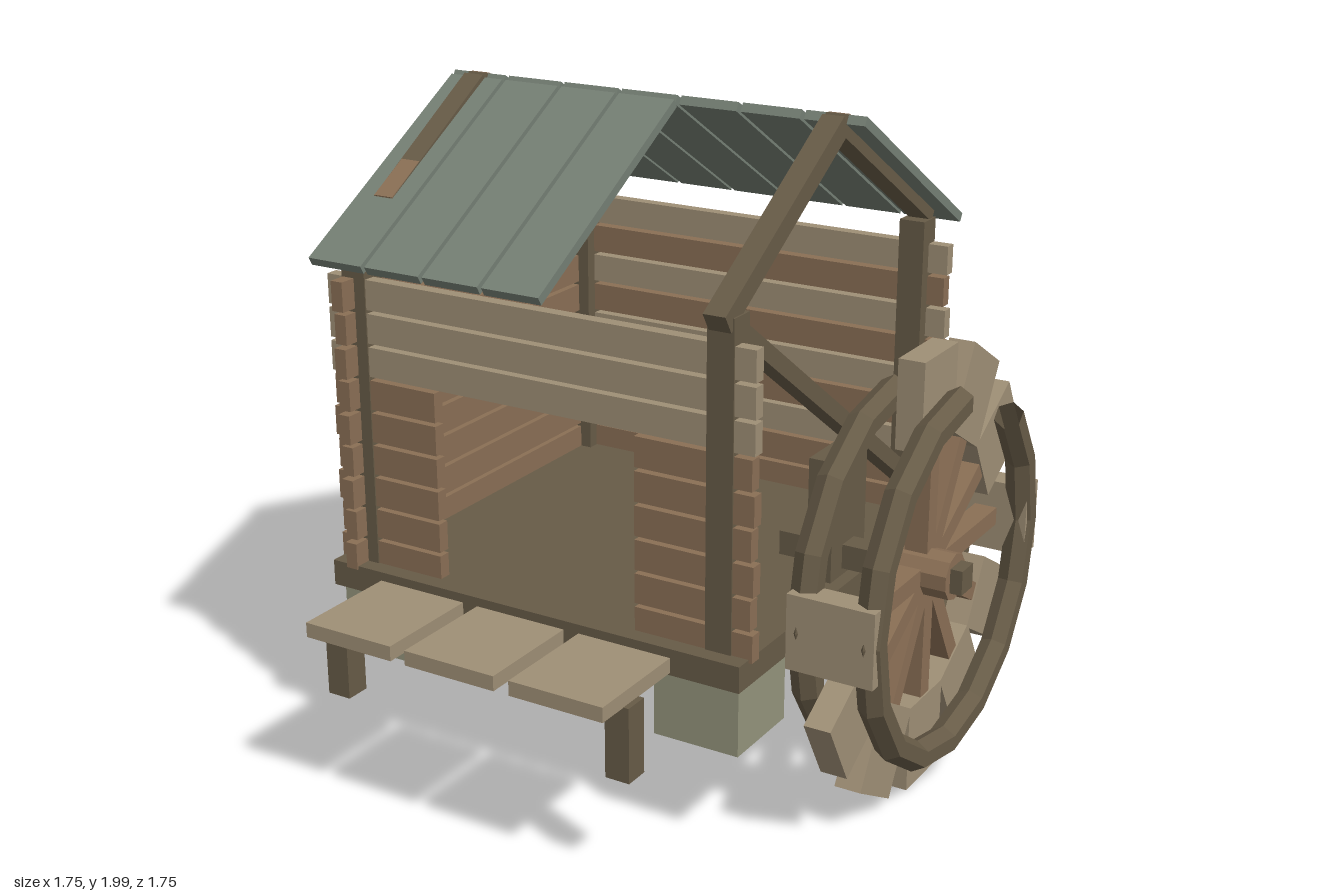
import * as THREE from 'three';

const mat = (color) => new THREE.MeshStandardMaterial({ color, flatShading: true });
const BROWN = mat(0x8a6f55), LIGHT = mat(0x9f8f76), DARK = mat(0x675b47);
const STONE = mat(0x94947c), SLATE = mat(0x757f74);

// Box given by its extents on each axis
function box(parent, name, material, [x0, x1], [y0, y1], [z0, z1]) {
  const mesh = new THREE.Mesh(new THREE.BoxGeometry(x1 - x0, y1 - y0, z1 - z0), material);
  mesh.position.set((x0 + x1) / 2, (y0 + y1) / 2, (z0 + z1) / 2);
  mesh.name = name;
  parent.add(mesh);
  return mesh;
}

// Beam in a plane of constant x; its upper face runs from a to b, given as [z, y]
function beam(parent, name, material, x, width, thick, a, b) {
  const dz = b[0] - a[0], dy = b[1] - a[1], length = Math.hypot(dz, dy);
  const mesh = new THREE.Mesh(new THREE.BoxGeometry(width, thick, length), material);
  const side = Math.sign(dz) * thick / 2 / length;
  mesh.position.set(x, (a[1] + b[1]) / 2 - dz * side, (a[0] + b[0]) / 2 + dy * side);
  mesh.rotation.x = -Math.atan(dy / dz);
  mesh.name = name;
  parent.add(mesh);
}

function buildHouse() {
  const house = new THREE.Group();
  house.name = 'house';
  box(house, 'floor', DARK, [-0.875, 0.53], [0.54, 0.62], [-0.84, 0.51]);

  // Foundation stones and corner posts
  for (const x of [-0.72, 0.38])
    for (const z of [-0.68, 0.35])
      box(house, 'foundationStone', STONE, [x - 0.135, x + 0.135], [0.33, 0.54], [z - 0.135, z + 0.135]);
  for (const x of [-0.783, 0.435])
    for (const z of [-0.747, 0.42])
      box(house, 'cornerPost', DARK, [x - 0.041, x + 0.041], [0.62, 1.58], [z - 0.041, z + 0.041]);

  // Plank walls: back, left side and front with a doorway; the wheel side is open
  for (let i = 0; i < 9; i++) {
    const y = [i ? 0.602 + 0.1015 * i : 0.61, 0.692 + 0.1015 * i];
    const e = i % 2 ? 0.008 : 0;
    box(house, 'backPlank', i % 2 || !i ? BROWN : LIGHT, [-0.88 + e, 0.54 - e], y, [-0.784, -0.745]);
    box(house, 'sidePlank', BROWN, [-0.82, -0.78], y, [-0.845 + e, 0.515 - e]);
    const front = [0.418, 0.457];
    if (i > 5) {
      box(house, 'frontPlank', LIGHT, [-0.88, 0.54], y, front);
    } else {
      box(house, 'frontPlank', BROWN, [-0.88 + e, -0.51], y, front);
      box(house, 'frontPlank', BROWN, [0.165, 0.54 - e], y, front);
    }
  }

  // Axle support and brace on the open side
  box(house, 'axleSupport', DARK, [0.41, 0.49], [0.62, 1.0], [-0.33, -0.11]);
  beam(house, 'brace', DARK, 0.435, 0.06, 0.05, [0.41, 1.57], [-0.72, 0.78]);
  return house;
}

function buildRoof() {
  const roof = new THREE.Group();
  roof.name = 'roof';
  // The front slope has lost its last three boards
  for (let i = 0; i < 7; i++) {
    const x = -0.777 + 0.2017 * i;
    beam(roof, 'backRoofBoard', SLATE, x, 0.188, 0.028, [-0.178, 1.998], [-0.872, 1.58]);
    if (i < 4) beam(roof, 'frontRoofBoard', SLATE, x, 0.188, 0.028, [-0.16, 1.988], [0.545, 1.572]);
  }
  for (const x of [-0.78, 0.437]) {
    beam(roof, 'backRafter', DARK, x, 0.068, 0.06, [-0.172, 2.0], [-0.8, 1.62]);
    beam(roof, 'frontRafter', DARK, x, 0.068, 0.06, [-0.15, 1.998], [0.5, 1.592]);
  }
  // Upper rafter faces standing just proud of the boards
  const strip = (x, a, b) => beam(roof, 'rafterTop', BROWN, x, 0.065, 0.02, a, b);
  for (const x of [-0.78, 0.437]) strip(x, [-0.185, 1.999], [-0.65, 1.717]);
  strip(-0.78, [-0.155, 1.993], [0.31, 1.714]);
  return roof;
}

function buildStep() {
  const step = new THREE.Group();
  step.name = 'frontStep';
  for (const x of [-0.52, -0.17, 0.18])
    box(step, 'stepBoard', LIGHT, [x - 0.15, x + 0.15], [0.565, 0.61], [0.54, 0.88]);
  for (const x of [-0.65, 0.309])
    box(step, 'stepLeg', DARK, [x - 0.038, x + 0.038], [0.34, 0.566], [0.703, 0.78]);
  return step;
}

// Water wheel in its own xy plane, turned so that its axis lies along x
function buildWheel() {
  const wheel = new THREE.Group();
  wheel.name = 'waterWheel';
  wheel.position.set(0.722, 0.68, -0.22);
  wheel.rotation.y = Math.PI / 2;

  // Two broken rims, open between 45 and 90 degrees
  const rimGeometry = new THREE.TorusGeometry(0.535, 0.046, 6, 14, Math.PI * 1.75);
  for (const z of [-0.102, 0.102]) {
    const rim = new THREE.Mesh(rimGeometry, DARK);
    rim.material = DARK.clone();
    rim.material.side = THREE.DoubleSide;
    rim.position.z = z;
    rim.rotation.z = Math.PI / 2;
    rim.name = 'rim';
    wheel.add(rim);
  }

  // Spokes with paddles; two are lost, and the level paddles lie across the rims
  for (let i = 0; i < 12; i++) {
    if (i === 4 || i === 5) continue;
    const arm = new THREE.Group();
    arm.name = 'spokeAndPaddle';
    arm.rotation.z = i * Math.PI / 6;
    box(arm, 'spoke', BROWN, [0.04, 0.5], [-0.028, 0.028], [-0.036, 0.036]);
    const flat = i % 6 === 0;
    const r = flat ? 0.042 : 0.135, w = flat ? 0.133 : 0.041;
    box(arm, 'paddle', LIGHT, [0.535 - r, 0.535 + r], [-0.113, 0.113], [-w, w]);
    wheel.add(arm);
  }

  // Hub and square axle
  const hub = new THREE.Mesh(new THREE.CylinderGeometry(0.072, 0.072, 0.23, 10), BROWN);
  hub.rotation.x = Math.PI / 2;
  hub.name = 'hub';
  wheel.add(hub);
  box(wheel, 'axle', DARK, [-0.038, 0.038], [-0.038, 0.038], [-0.442, 0.153]);
  return wheel;
}

export function createModel() {
  const model = new THREE.Group();
  model.name = 'waterMill';
  model.add(buildHouse(), buildRoof(), buildStep(), buildWheel());
  return model;
}
